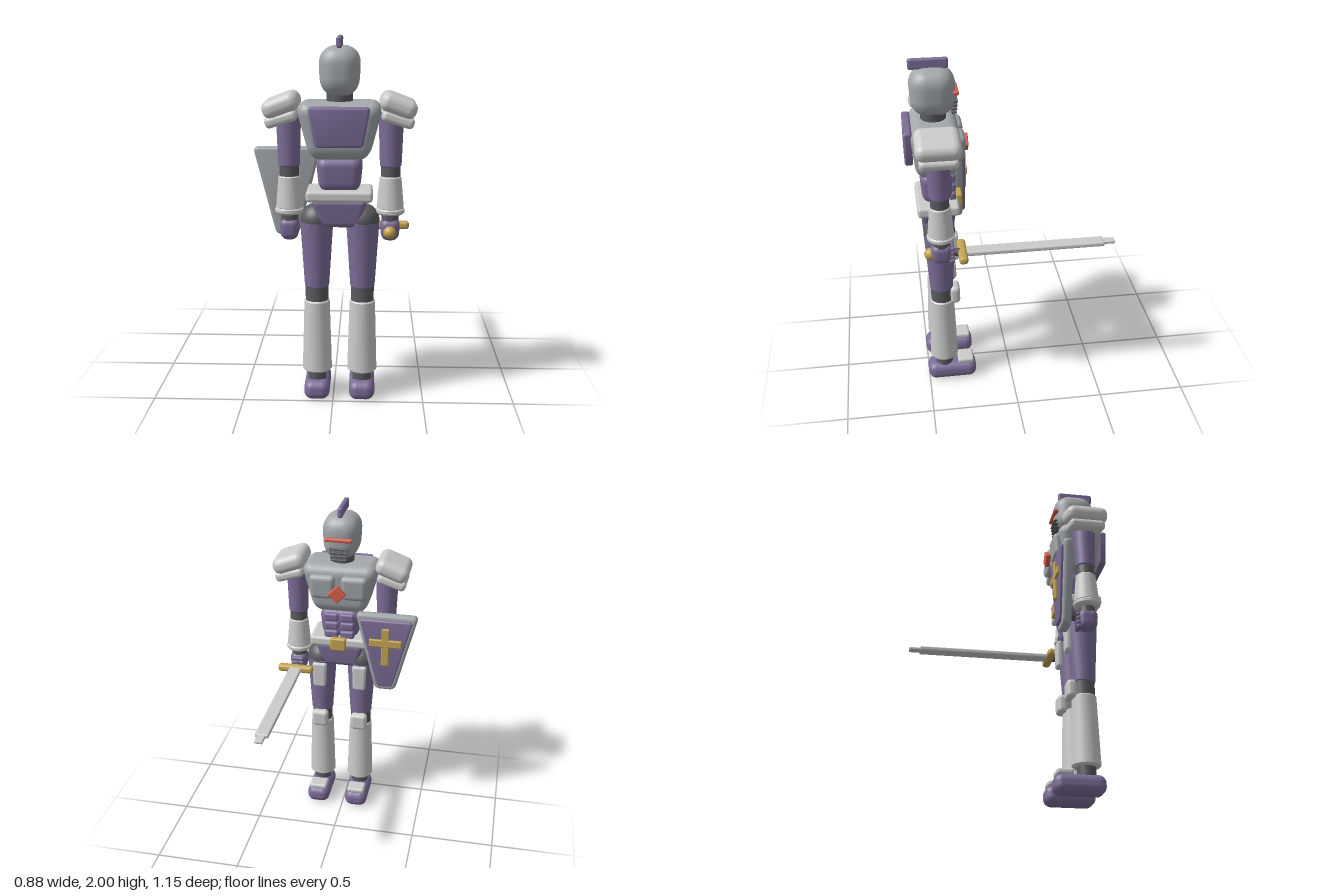
import * as THREE from 'three';
import { RoundedBoxGeometry } from 'three/addons/geometries/RoundedBoxGeometry.js';
import { mergeVertices, toCreasedNormals } from 'three/addons/utils/BufferGeometryUtils.js';

const mat = (color) => new THREE.MeshStandardMaterial({ color });
const light = mat(0xcccccc);
const steel = mat(0xa3a8ac);
const dark = mat(0x5a5a60);
const purple = mat(0x7d6d98);
const gold = mat(0xc4a452);
const red = mat(0xd9604c);

function add(parent, name, geometry, material, x = 0, y = 0, z = 0) {
  const mesh = new THREE.Mesh(geometry, material);
  mesh.name = name;
  mesh.position.set(x, y, z);
  parent.add(mesh);
  return mesh;
}

// Rounded box; the bottom is scaled by bx and bz relative to the top
function block(w, h, d, r, bx = 1, bz = bx) {
  let geo = new RoundedBoxGeometry(w, h, d, 4, Math.min(r, w * 0.499, h * 0.499, d * 0.499));
  if (bx === 1 && bz === 1) return geo;
  const p = geo.attributes.position;
  for (let i = 0; i < p.count; i++) {
    const t = p.getY(i) / h + 0.5;
    p.setX(i, p.getX(i) * (bx + (1 - bx) * t));
    p.setZ(i, p.getZ(i) * (bz + (1 - bz) * t));
  }
  geo.deleteAttribute('normal');
  geo.deleteAttribute('uv');
  geo = mergeVertices(geo, 1e-5);
  geo.computeVertexNormals();
  return geo;
}

// Tapered limb from y0 up to y1 with bevelled rims
function limb(r0, r1, y0, y1, b = 0.01) {
  const pts = [[0, y0], [r0 - b, y0], [r0, y0 + b], [r1, y1 - b], [r1 - b, y1], [0, y1]];
  const geo = new THREE.LatheGeometry(pts.map(([x, y]) => new THREE.Vector2(x, y)), 32);
  return toCreasedNormals(geo, 0.6);
}

// Tapered plate with rounded corners, centred on its thickness
function plate(topHalf, bottomHalf, y0, y1, depth, r) {
  const corners = [[-bottomHalf, y0], [bottomHalf, y0], [topHalf, y1], [-topHalf, y1]]
    .map(([x, y]) => new THREE.Vector2(x, y));
  const shape = new THREE.Shape();
  corners.forEach((c, i) => {
    const before = corners[(i + 3) % 4], after = corners[(i + 1) % 4];
    const a = c.clone().add(before.clone().sub(c).setLength(r));
    const b = c.clone().add(after.clone().sub(c).setLength(r));
    if (i === 0) shape.moveTo(a.x, a.y); else shape.lineTo(a.x, a.y);
    shape.quadraticCurveTo(c.x, c.y, b.x, b.y);
  });
  shape.closePath();
  const bevel = depth * 0.3;
  const geo = new THREE.ExtrudeGeometry(shape, {
    depth: depth - 2 * bevel, bevelThickness: bevel, bevelSize: bevel,
    bevelOffset: -bevel, bevelSegments: 3, curveSegments: 6,
  });
  geo.translate(0, 0, bevel - depth / 2);
  return toCreasedNormals(geo, 0.6);
}

function buildHead(body) {
  add(body, 'helmet', block(0.225, 0.265, 0.255, 0.095, 0.9, 0.92), steel, 0, 1.818, 0);
  add(body, 'crest', block(0.03, 0.06, 0.215, 0.012), purple, 0, 1.97, 0.017);
  add(body, 'visor', block(0.16, 0.022, 0.03, 0.008), red, 0, 1.822, -0.122);
  for (let i = 0; i < 4; i++)
    add(body, 'mouthSlat', block(0.11 - i * 0.006, 0.011, 0.03, 0.004), dark, 0, 1.766 - i * 0.022, -0.118 + i * 0.002);
  add(body, 'neck', limb(0.07, 0.07, 1.62, 1.72), dark);
}

function buildTorso(body) {
  add(body, 'chest', block(0.47, 0.305, 0.28, 0.07, 0.66, 0.78), steel, 0, 1.51, 0);
  add(body, 'backPanel', plate(0.163, 0.125, 1.434, 1.645, 0.045, 0.025), purple, 0, 0, 0.147);
  for (const s of [-1, 1]) {
    const pec = add(body, 'chestPlate', block(0.16, 0.15, 0.06, 0.03, 0.88, 1), steel, s * 0.095, 1.535, -0.128);
    pec.rotation.x = -0.08;
    for (let i = 0; i < 3; i++)
      add(body, 'abdomenBlock', block(0.085, 0.05, 0.04, 0.014), purple, s * 0.048, 1.325 - i * 0.056, -0.085);
  }
  const gem = add(body, 'chestGem', block(0.077, 0.077, 0.03, 0.006), red, 0, 1.508, -0.17);
  gem.rotation.z = Math.PI / 4;
  add(body, 'abdomen', block(0.255, 0.19, 0.19, 0.055, 0.85), purple, 0, 1.275, 0);
  add(body, 'belt', block(0.355, 0.06, 0.235, 0.018), light, 0, 1.165, 0);
  add(body, 'buckle', block(0.095, 0.08, 0.04, 0.01), gold, 0, 1.163, -0.123);
  add(body, 'pelvis', block(0.305, 0.155, 0.2, 0.03, 0.66, 0.8), purple, 0, 1.067, 0);
}

function buildLeg(body, s) {
  const leg = new THREE.Group();
  leg.name = s > 0 ? 'leftLeg' : 'rightLeg';
  leg.position.x = s * 0.125;
  body.add(leg);
  add(leg, 'hipJoint', new THREE.SphereGeometry(0.09, 32, 20), dark, 0, 1.02, 0);
  add(leg, 'thigh', limb(0.067, 0.09, 0.64, 1.02), purple);
  add(leg, 'thighPlate', block(0.09, 0.165, 0.04, 0.016, 0.85, 1), light, 0, 0.92, -0.083);
  add(leg, 'knee', limb(0.063, 0.063, 0.55, 0.66), dark);
  add(leg, 'kneePad', block(0.105, 0.11, 0.06, 0.025), light, 0, 0.6, -0.075);
  add(leg, 'shin', limb(0.082, 0.07, 0.155, 0.57), light);
  add(leg, 'ankle', limb(0.052, 0.052, 0.08, 0.17), dark);
  add(leg, 'foot', block(0.142, 0.108, 0.29, 0.045), purple, 0, 0.054, -0.045);
  add(leg, 'toePlate', block(0.11, 0.035, 0.095, 0.014), light, 0, 0.117, -0.128);
}

function buildArm(body, s) {
  const arm = new THREE.Group();
  arm.name = s > 0 ? 'leftArm' : 'rightArm';
  arm.position.x = s * 0.272;
  body.add(arm);
  const upper = add(arm, 'pauldron', block(0.2, 0.1, 0.245, 0.045), light, s * 0.036, 1.643, 0);
  upper.rotation.z = -s * 0.36;
  const lower = add(arm, 'pauldronLower', block(0.175, 0.06, 0.21, 0.025), light, s * 0.034, 1.572, 0);
  lower.rotation.z = -s * 0.3;
  add(arm, 'upperArm', limb(0.058, 0.067, 1.31, 1.6), purple);
  add(arm, 'elbow', limb(0.052, 0.052, 1.24, 1.33), dark);
  add(arm, 'forearm', limb(0.073, 0.058, 1.08, 1.265), light);
  add(arm, 'cuff', limb(0.078, 0.078, 1.055, 1.09), light);
  add(arm, 'wrist', limb(0.047, 0.047, 1.0, 1.06), dark);
  add(arm, 'hand', block(0.11, 0.12, 0.12, 0.04, 0.85), purple, 0, 0.97, 0);
  for (let i = 0; i < 4; i++)
    add(arm, 'finger', block(0.075, 0.024, 0.03, 0.01), purple, 0, 1.0 - i * 0.025, -0.055);
}

// Sword held level, pointing forward
function buildSword(body) {
  const sword = new THREE.Group();
  sword.name = 'sword';
  sword.position.set(0.27, 0.963, -0.405);
  body.add(sword);
  add(sword, 'pommel', new THREE.SphereGeometry(0.034, 24, 16), gold, 0, 0, 0.468);
  const grip = add(sword, 'grip', limb(0.022, 0.022, -0.1, 0.1, 0.004), dark, 0, 0, 0.375);
  grip.rotation.x = Math.PI / 2;
  add(sword, 'guard', block(0.22, 0.045, 0.05, 0.018), gold, 0, 0, 0.29);
  add(sword, 'blade', block(0.077, 0.026, 0.8, 0.008), light, 0, 0, -0.112);
  add(sword, 'bladeTip', block(0.047, 0.018, 0.1, 0.006), light, 0, 0, -0.526);
}

function buildShield(body) {
  const shield = new THREE.Group();
  shield.name = 'shield';
  shield.position.set(-0.295, 0, -0.405);
  body.add(shield);
  add(shield, 'shieldBack', plate(0.187, 0.062, 0.9, 1.395, 0.054, 0.035), steel, 0, 0, 0.267);
  add(shield, 'shieldFace', plate(0.158, 0.046, 0.93, 1.367, 0.03, 0.025), purple, 0, 0, 0.238);
  add(shield, 'crossUpright', block(0.046, 0.24, 0.024, 0.006), gold, 0, 1.2, 0.222);
  add(shield, 'crossBar', block(0.195, 0.046, 0.024, 0.006), gold, 0, 1.225, 0.221);
  add(shield, 'shieldBrace', block(0.06, 0.05, 0.1, 0.012), dark, 0.022, 1.0, 0.32);
}

export function createModel() {
  const model = new THREE.Group();
  model.name = 'armouredKnight';
  // The figure stands behind the centre and faces -z
  const body = new THREE.Group();
  body.name = 'knight';
  body.position.set(0.035, 0, 0.405);
  model.add(body);
  buildHead(body);
  buildTorso(body);
  for (const s of [-1, 1]) {
    buildLeg(body, s);
    buildArm(body, s);
  }
  buildSword(body);
  buildShield(body);
  return model;
}
